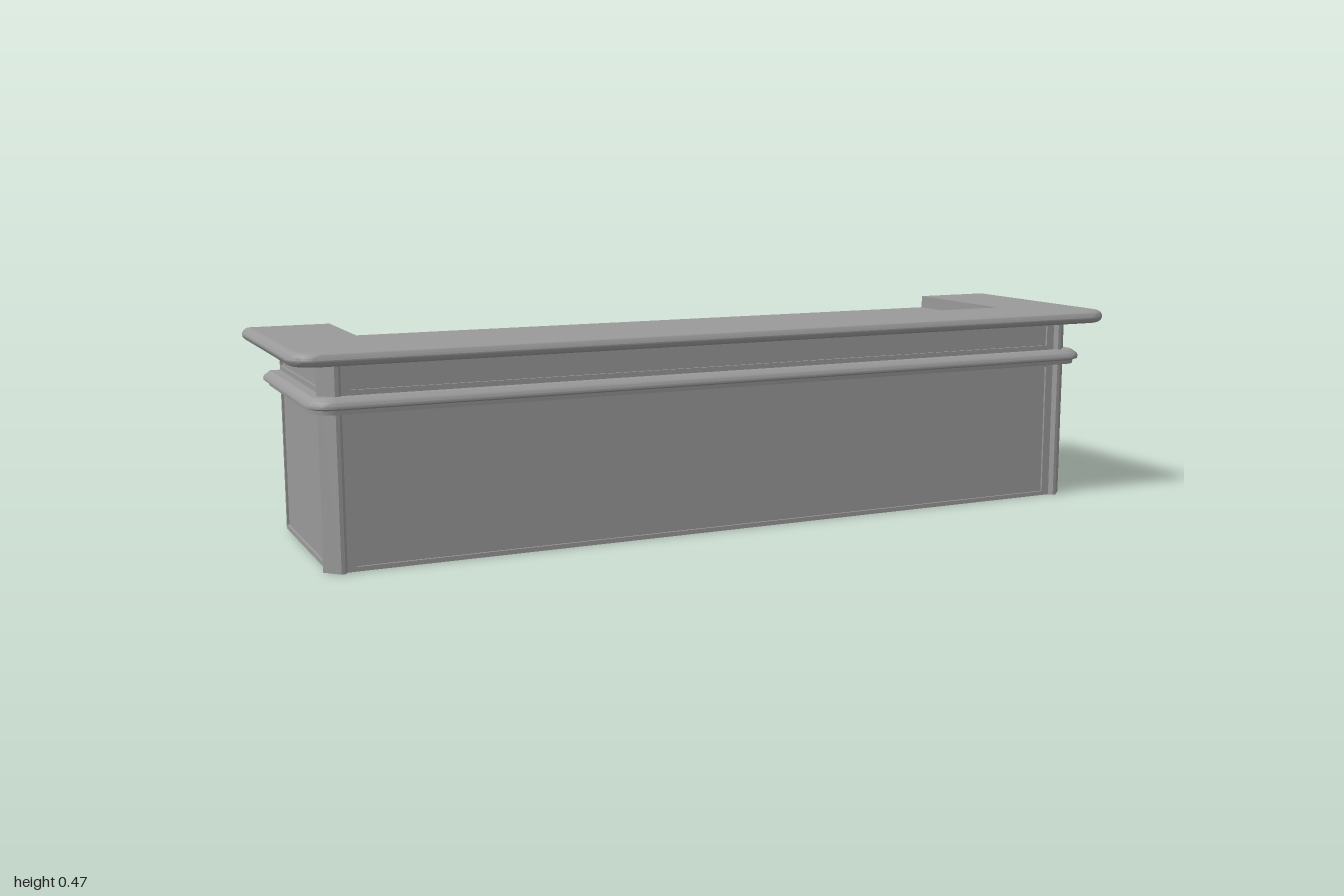
import * as THREE from 'three';
import { toCreasedNormals } from 'three/addons/utils/BufferGeometryUtils.js';

const material = new THREE.MeshStandardMaterial({ color: 0x9a9a9a });
const BACK = -0.264;      // flat rear plane
const BODY_TOP = 0.436;   // underside of the bar top

function add(parent, name, geometry) {
  const mesh = new THREE.Mesh(geometry, material);
  mesh.name = name;
  parent.add(mesh);
  return mesh;
}

// Box given by its extents
function box(parent, name, x0, x1, y0, y1, z0, z1) {
  const mesh = add(parent, name, new THREE.BoxGeometry(x1 - x0, y1 - y0, z1 - z0));
  mesh.position.set((x0 + x1) / 2, (y0 + y1) / 2, (z0 + z1) / 2);
}

// Outline running from the rear, round both front corners, to the rear again
function edgePath(X, Z, R, inset, segments = 8) {
  const points = [[-X + inset, BACK]];
  for (const side of [-1, 1]) {
    for (let i = 0; i <= segments; i++) {
      const t = (i / segments) * Math.PI / 2;
      const a = side < 0 ? Math.PI - t : Math.PI / 2 - t;
      points.push([side * (X - R) + (R - inset) * Math.cos(a), Z - R + (R - inset) * Math.sin(a)]);
    }
  }
  points.push([X - inset, BACK]);
  return points;
}

// Sweep a convex profile of [inset, y], listed from top to bottom, with end caps
function sweepEdge(X, Z, R, profile, crease) {
  const paths = profile.map(([inset]) => edgePath(X, Z, R, inset));
  const n = paths[0].length, m = profile.length;
  const positions = [], index = [];
  for (let i = 0; i < n; i++) {
    for (let j = 0; j < m; j++) positions.push(paths[j][i][0], profile[j][1], paths[j][i][1]);
  }
  for (let i = 0; i < n - 1; i++) {
    for (let j = 0; j < m - 1; j++) {
      const a = i * m + j, b = a + 1, c = a + m, d = c + 1;
      index.push(a, b, c, b, d, c);
    }
  }
  const last = (n - 1) * m;
  for (let j = 1; j < m - 1; j++) {
    index.push(0, j + 1, j, last, last + j, last + j + 1);
  }
  const geometry = new THREE.BufferGeometry();
  geometry.setAttribute('position', new THREE.Float32BufferAttribute(positions, 3));
  geometry.setIndex(index);
  return toCreasedNormals(geometry, crease);
}

// Thin frame with a tall lower and a low upper opening
function frameGeometry(x0, x1, hole0, hole1) {
  const rect = (Type, a, b, c, d) => new Type([
    new THREE.Vector2(a, c), new THREE.Vector2(b, c),
    new THREE.Vector2(b, d), new THREE.Vector2(a, d),
  ]);
  const shape = rect(THREE.Shape, x0, x1, 0, BODY_TOP);
  shape.holes.push(rect(THREE.Path, hole0, hole1, 0.01, 0.324));
  shape.holes.push(rect(THREE.Path, hole0, hole1, 0.378, 0.427));
  return new THREE.ExtrudeGeometry(shape, { depth: 0.005, bevelEnabled: false });
}

// Extrude a plan outline of [x, z] upwards from y0 to y1
function extrudePlan(points, y0, y1) {
  const shape = new THREE.Shape(points.map(([x, z]) => new THREE.Vector2(x, -z)));
  const geometry = new THREE.ExtrudeGeometry(shape, { depth: y1 - y0, bevelEnabled: false });
  geometry.rotateX(-Math.PI / 2);
  geometry.translate(0, y0, 0);
  return geometry;
}

export function createModel() {
  const model = new THREE.Group();
  model.name = 'barCounter';

  // Carcass, open at the rear
  const body = new THREE.Group();
  body.name = 'body';
  model.add(body);
  box(body, 'frontPanel', -0.915, 0.915, 0, BODY_TOP, 0.16, 0.18);
  box(body, 'floor', -0.905, 0.905, 0, 0.015, BACK, 0.16);
  box(body, 'lowerShelf', -0.905, 0.905, 0.175, 0.197, BACK, 0.16);
  box(body, 'upperShelf', -0.905, 0.905, 0.303, 0.323, BACK, 0.16);
  box(body, 'workSurface', -0.905, 0.905, 0.416, BODY_TOP, BACK, 0.16);

  const frontFrame = add(body, 'frontFrame', frameGeometry(-0.885, 0.885, -0.865, 0.865));
  frontFrame.position.z = 0.18;

  // Side walls, their frames and the chamfered corner posts
  for (const side of [-1, 1]) {
    const label = side > 0 ? 'left' : 'right';
    box(body, label + 'Wall', side * 0.91 - 0.005, side * 0.91 + 0.005, 0, BODY_TOP, BACK, 0.16);

    const frame = side > 0 ? frameGeometry(-0.155, -BACK, -0.112, 0.257)
      : frameGeometry(BACK, 0.155, -0.257, 0.112);
    const sideFrame = add(body, label + 'Frame', frame);
    sideFrame.rotation.y = side * Math.PI / 2;
    sideFrame.position.x = side * 0.915;

    const plan = [
      [0.885, 0.152], [0.92, 0.152], [0.93, 0.158], [0.93, 0.165],
      [0.9, 0.195], [0.892, 0.195], [0.885, 0.185],
    ].map(([x, z]) => [side * x, z]);
    add(body, label + 'CornerPost', extrudePlan(plan, 0, BODY_TOP));
  }

  // Moulding round the front and sides
  const mouldingProfile = [
    [0.046, 0.367], [0.016, 0.367], [0.009, 0.362], [0.002, 0.357], [0, 0.352],
    [0.001, 0.346], [0.012, 0.342], [0.013, 0.333], [0.046, 0.333],
  ];
  add(model, 'moulding', sweepEdge(0.958, 0.225, 0.055, mouldingProfile, 0.6));

  // Bar top: U-shaped slab with a rounded outer edge
  const top = new THREE.Group();
  top.name = 'barTop';
  model.add(top);
  const y0 = BODY_TOP, y1 = 0.466, round = 0.018;
  const outline = edgePath(1, 0.264, 0.06, round);
  outline.push([0.79, BACK], [0.79, 0.08], [-0.805, 0.08], [-0.805, BACK]);
  add(top, 'topSlab', extrudePlan(outline, y0, y1));

  const nose = [];
  for (let i = 0; i <= 10; i++) {
    const a = (i / 10) * Math.PI;
    nose.push([round * (1 - Math.sin(a)), (y0 + y1) / 2 + (y1 - y0) / 2 * Math.cos(a)]);
  }
  add(top, 'roundedEdge', sweepEdge(1, 0.264, 0.06, nose, 0.7));

  return model;
}
